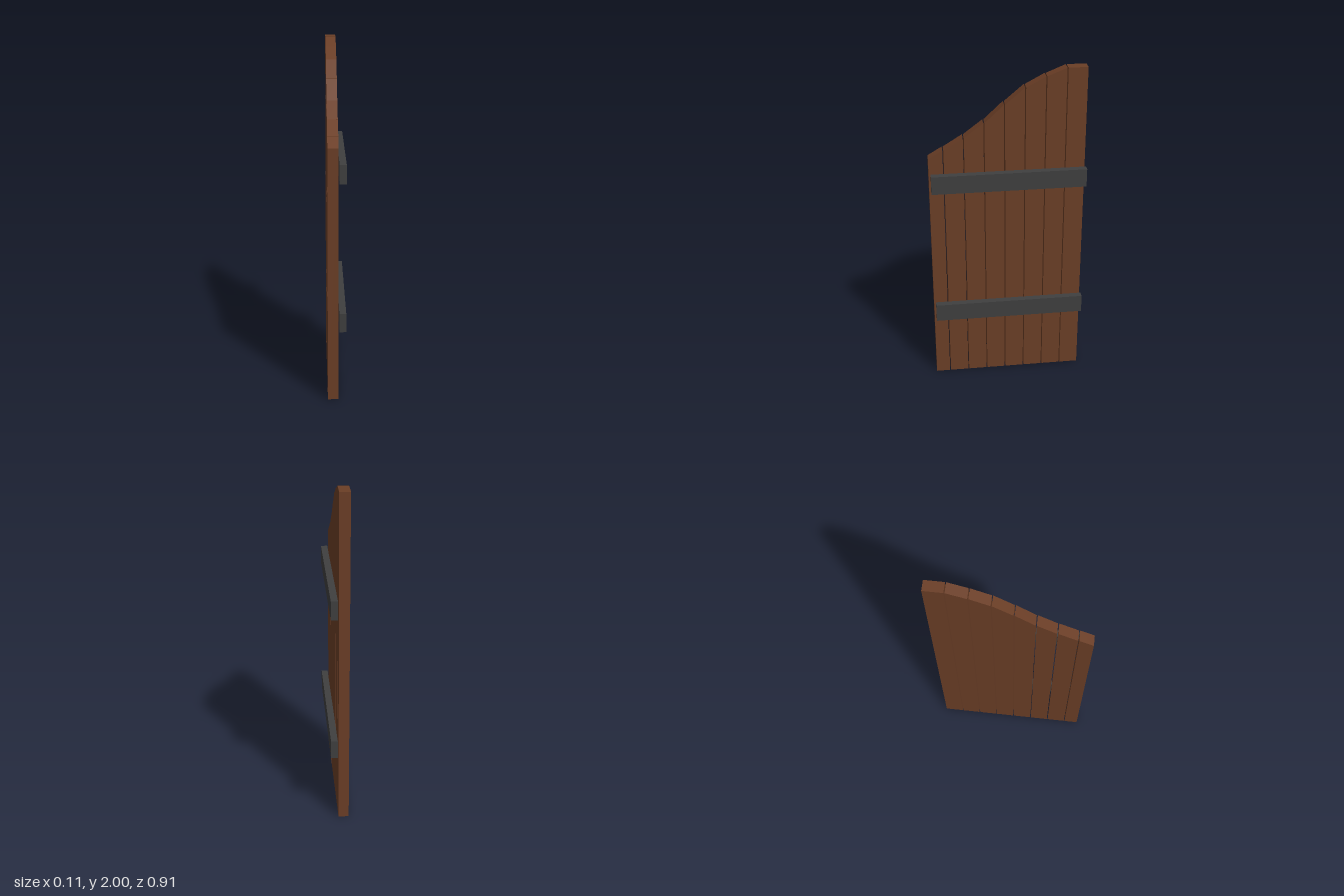
import * as THREE from 'three';

export function createModel() {
  const gate = new THREE.Group();
  gate.name = 'gateLeaf';
  const wood = new THREE.MeshStandardMaterial({ color: 0x6b3e26, flatShading: true });
  const iron = new THREE.MeshStandardMaterial({ color: 0x3f3f3f, flatShading: true });

  // Top edge of the leaf: height at each joint between planks, from hinge side to low side
  const pitch = 0.1175, gap = 0.006, back = -0.451, front = 0.455;
  const heights = [2, 2, 1.955, 1.895, 1.8, 1.695, 1.61, 1.54, 1.49];

  // Upright planks with sloped tops; the last one is narrower
  const planks = new THREE.Group();
  planks.name = 'planks';
  for (let i = 0; i < 8; i++) {
    const z0 = back + i * pitch;
    const z1 = Math.min(z0 + pitch - gap, front);
    const profile = new THREE.Shape([
      new THREE.Vector2(-z1, 0),
      new THREE.Vector2(-z0, 0),
      new THREE.Vector2(-z0, heights[i]),
      new THREE.Vector2(-z1, heights[i + 1]),
    ]);
    const geometry = new THREE.ExtrudeGeometry(profile, { depth: 0.061, bevelEnabled: false });
    geometry.rotateY(Math.PI / 2);
    const plank = new THREE.Mesh(geometry, wood);
    plank.name = `plank${i + 1}`;
    plank.position.x = -0.053;
    planks.add(plank);
  }
  gate.add(planks);

  // Two horizontal straps, standing just clear of the planks
  for (const [name, y] of [['lowerStrap', 0.472], ['upperStrap', 1.342]]) {
    const strap = new THREE.Mesh(new THREE.BoxGeometry(0.039, 0.111, 0.903), iron);
    strap.name = name;
    strap.position.set(0.033, y, -0.0075);
    gate.add(strap);
  }
  return gate;
}
